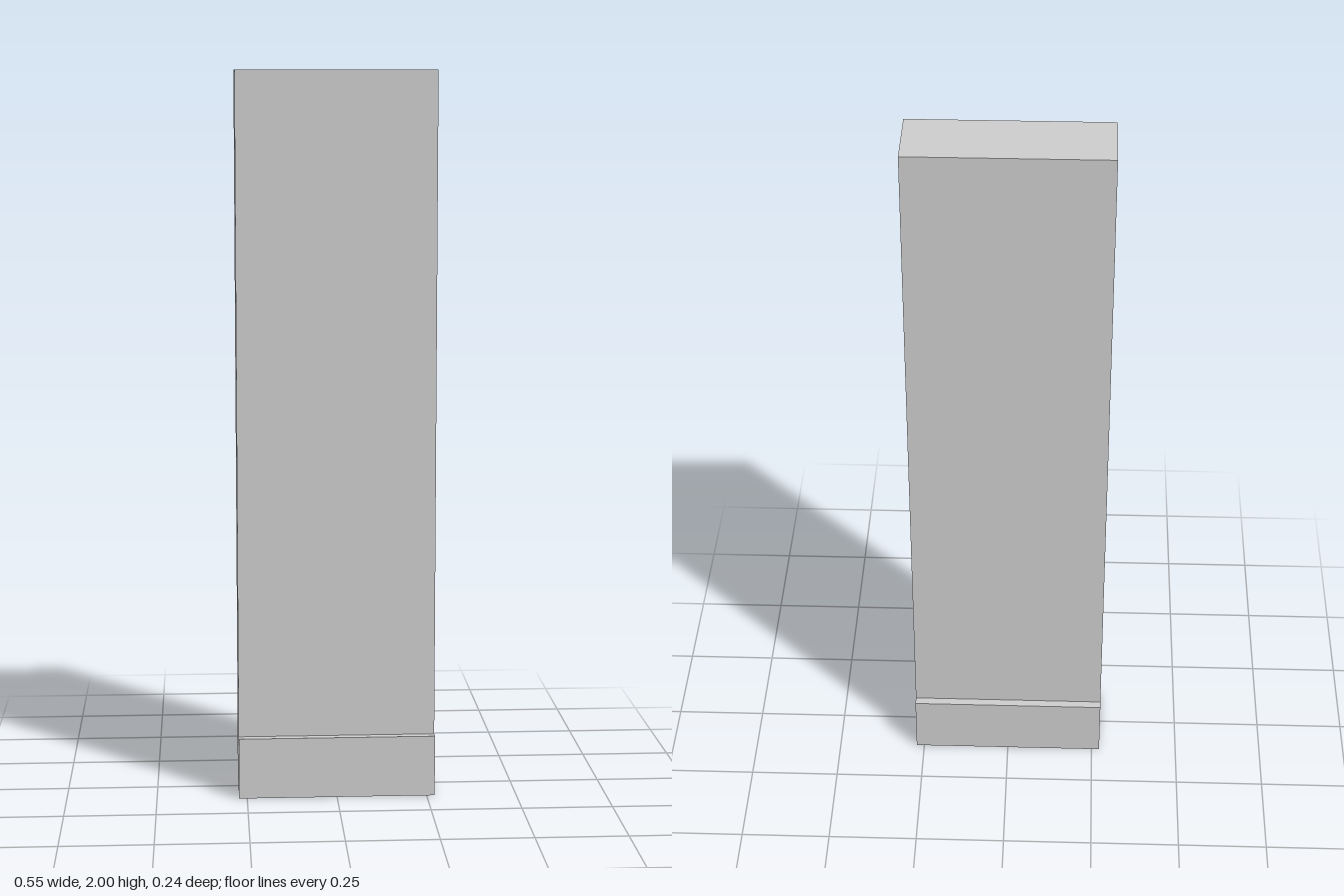
import * as THREE from 'three';

const WIDTH = 0.545, HEIGHT = 2;
const BASE_HEIGHT = 0.17, BASE_HALF = 0.12, PANEL_HALF = 0.096;

export function createModel() {
  const group = new THREE.Group();
  group.name = 'wallPanel';

  // Stepped side profile: slab above, skirting projecting front and back
  const half = [
    [BASE_HALF, 0],
    [BASE_HALF, BASE_HEIGHT],
    [PANEL_HALF, BASE_HEIGHT],
    [PANEL_HALF, HEIGHT],
  ];
  const mirrored = half.map(([z, y]) => [-z, y]).reverse();
  const profile = new THREE.Shape([...half, ...mirrored].map(([z, y]) => new THREE.Vector2(z, y)));

  // Sweep the profile across the width
  const geometry = new THREE.ExtrudeGeometry(profile, { depth: WIDTH, bevelEnabled: false });
  geometry.translate(0, 0, -WIDTH / 2);
  geometry.rotateY(Math.PI / 2);

  const panel = new THREE.Mesh(geometry, new THREE.MeshStandardMaterial({ color: 0xcccccc }));
  panel.name = 'panelWithSkirting';
  group.add(panel);
  return group;
}
